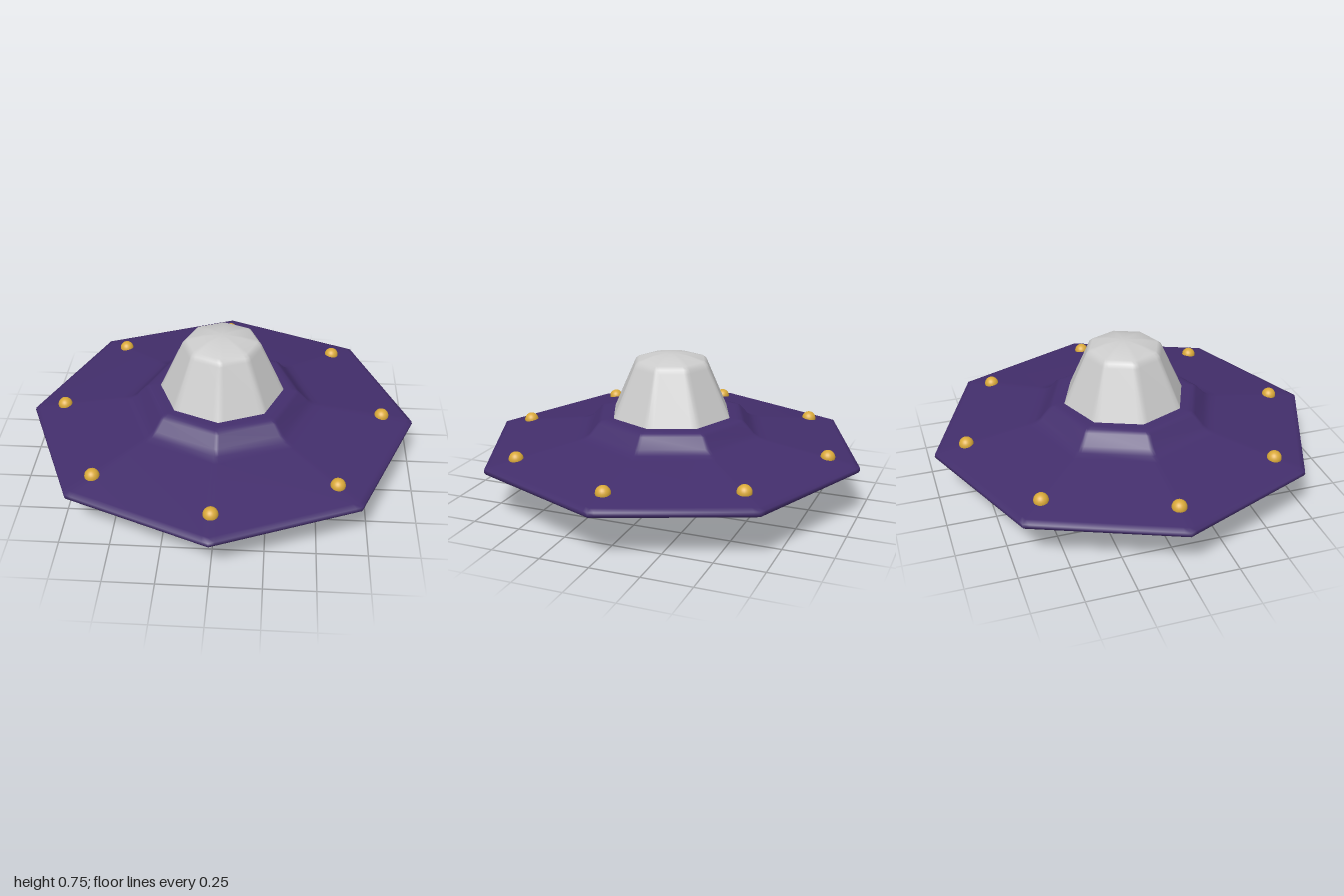
import * as THREE from 'three';
import { mergeVertices } from 'three/addons/utils/BufferGeometryUtils.js';

// Turns a profile into an eight-sided body with softened corners on the axes and diagonals.
function octagonBody(profile, soft) {
  const points = profile.map(([r, y]) => new THREE.Vector2(r, y));
  const n = points.length;
  const geo = new THREE.LatheGeometry(points, 24);
  const pos = geo.attributes.position;
  const corner = (k, out) => out.set(Math.sin(k * Math.PI / 4), Math.cos(k * Math.PI / 4));
  const a = new THREE.Vector2(), b = new THREE.Vector2();
  for (let i = 0; i < pos.count; i++) {
    const column = Math.floor(i / n) % 24;
    const p = points[i % n];
    const k = Math.floor(column / 3);
    corner(k, a);
    corner(k + 1, b);
    a.lerp(b, [0, soft, 1 - soft][column % 3]);
    pos.setXYZ(i, a.x * p.x, p.y, a.y * p.x);
  }
  geo.deleteAttribute('uv');
  geo.deleteAttribute('normal');
  const merged = mergeVertices(geo, 1e-4);
  merged.computeVertexNormals();
  return merged;
}

export function createModel() {
  const model = new THREE.Group();
  const purple = new THREE.MeshStandardMaterial({ color: 0x432e6c });
  const grey = new THREE.MeshStandardMaterial({ color: 0xcccccc });
  const gold = new THREE.MeshStandardMaterial({ color: 0xd9a93a });

  const add = (name, geometry, material) => {
    const mesh = new THREE.Mesh(geometry, material);
    mesh.name = name;
    model.add(mesh);
    return mesh;
  };

  // Saucer hull, from the recessed underside out to the rim and up to the collar
  add('hull', octagonBody([
    [0, 0.03], [0.09, 0.028], [0.18, 0.002], [0.195, 0], [0.21, 0.006],
    [0.36, 0.12], [0.385, 0.135], [0.42, 0.138], [0.58, 0.142], [0.62, 0.148],
    [0.97, 0.228], [0.993, 0.238], [1, 0.25], [0.998, 0.264], [0.97, 0.275],
    [0.53, 0.345], [0.485, 0.354], [0.45, 0.374], [0.405, 0.424], [0.385, 0.436],
    [0.355, 0.44], [0.28, 0.44], [0, 0.44],
  ], 0.04), purple);

  // Faceted cabin dome
  add('dome', octagonBody([
    [0.329, 0.42], [0.32, 0.44], [0.207, 0.69], [0.197, 0.71],
    [0.18, 0.724], [0.1, 0.746], [0.04, 0.754], [0, 0.755],
  ], 0.12), grey);

  // Round plate under the neck
  const plate = add('bottomPlate', new THREE.CylinderGeometry(0.08, 0.08, 0.012, 32), grey);
  plate.position.y = 0.032;

  // Ring of eight lights, one near each corner
  const bulb = new THREE.SphereGeometry(0.037, 24, 16);
  for (let i = 0; i < 8; i++) {
    const angle = i * Math.PI / 4;
    const light = add('light', bulb, gold);
    light.position.set(0.836 * Math.sin(angle), 0.297, 0.836 * Math.cos(angle));
  }

  return model;
}
